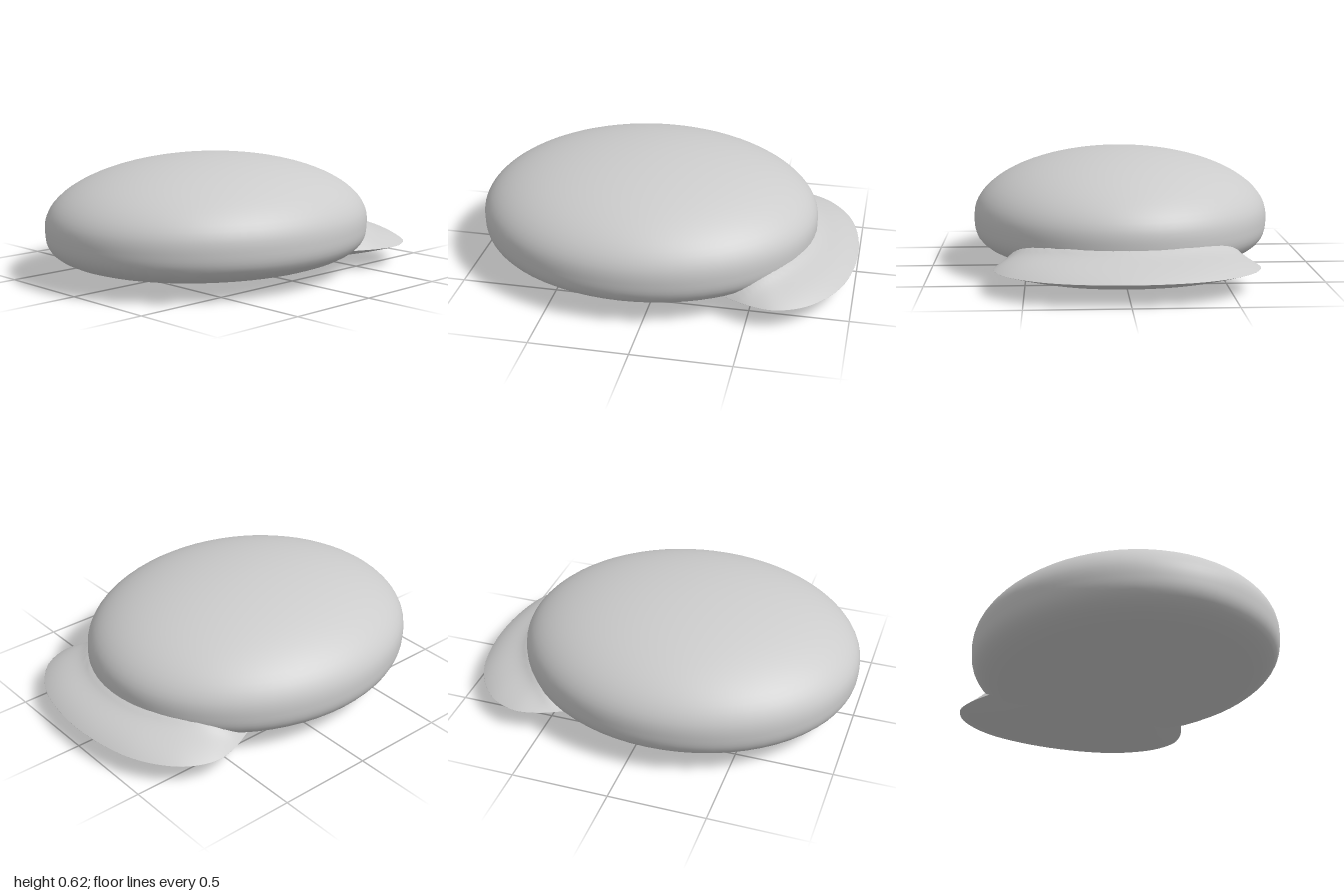
import * as THREE from 'three';
import { mergeVertices } from 'three/addons/utils/BufferGeometryUtils.js';

const material = new THREE.MeshStandardMaterial({ color: 0xcccccc, roughness: 0.8 });

// Unit sphere whose vertices are moved by rule(position, u), then smoothed across the seam
function shapedSphere(name, around, down, rule) {
  let geometry = new THREE.SphereGeometry(1, around, down);
  const pos = geometry.attributes.position, uv = geometry.attributes.uv;
  const v = new THREE.Vector3();
  for (let i = 0; i < pos.count; i++) {
    v.fromBufferAttribute(pos, i);
    rule(v, uv.getX(i));
    pos.setXYZ(i, v.x, v.y, v.z);
  }
  geometry.deleteAttribute('uv');
  geometry.deleteAttribute('normal');
  geometry = mergeVertices(geometry, 1e-5);
  geometry.computeVertexNormals();
  const mesh = new THREE.Mesh(geometry, material);
  mesh.name = name;
  return mesh;
}

// Body: ellipsoid dome above its widest line, flattened underside below it
const BODY = { rx: 0.78, rz: 0.89, y: 0.27, z: 0.11, up: 0.345, down: 0.23 };

function bodyRule(v) {
  if (v.y < 0) {
    const n = 3.5, r = Math.hypot(v.x, v.z);
    v.multiplyScalar(Math.pow(Math.pow(r, n) + Math.pow(-v.y, n), -1 / n));
  }
  v.set(v.x * BODY.rx, BODY.y + v.y * (v.y > 0 ? BODY.up : BODY.down), BODY.z + v.z * BODY.rz);
}

// Brim outline in (x, z): one half from front to back, mirrored to the other side
const half = [[0.3, -0.03], [0.49, -0.24], [0.59, -0.42], [0.635, -0.53], [0.65, -0.64],
  [0.6, -0.77], [0.5, -0.87], [0.35, -0.95], [0.12, -0.997]];
const outline = new THREE.CatmullRomCurve3(
  [[0, 0.1], ...half, ...half.map(([x, z]) => [-x, z]).reverse()]
    .map(([x, z]) => new THREE.Vector3(x, 0, z)), true);

// Brim: rounded plate at the back, domed below, with a soft fillet against the body
function brimRule(v, u) {
  const t = Math.min(1, Math.hypot(v.x, v.z)), centreZ = -0.45, edgeY = 0.11;
  const p = outline.getPoint(((u % 1) + 1) % 1);
  const x = p.x * t, z = centreZ + (p.z - centreZ) * t;
  let y = edgeY;
  if (v.y > 0) {
    const dome = 1 - Math.pow(t, 5);
    const gap = Math.max(0, Math.hypot(x / BODY.rx, (z - BODY.z) / BODY.rz) - 0.99);
    y += dome * (0.09 + 0.04 * Math.exp(-gap / 0.05));
  } else {
    y -= 0.11 * (1 - t * t);
  }
  v.set(x, y, z);
}

export function createModel() {
  const model = new THREE.Group();
  model.name = 'cap';
  model.add(shapedSphere('body', 64, 40, bodyRule));
  model.add(shapedSphere('brim', 80, 64, brimRule));
  return model;
}
